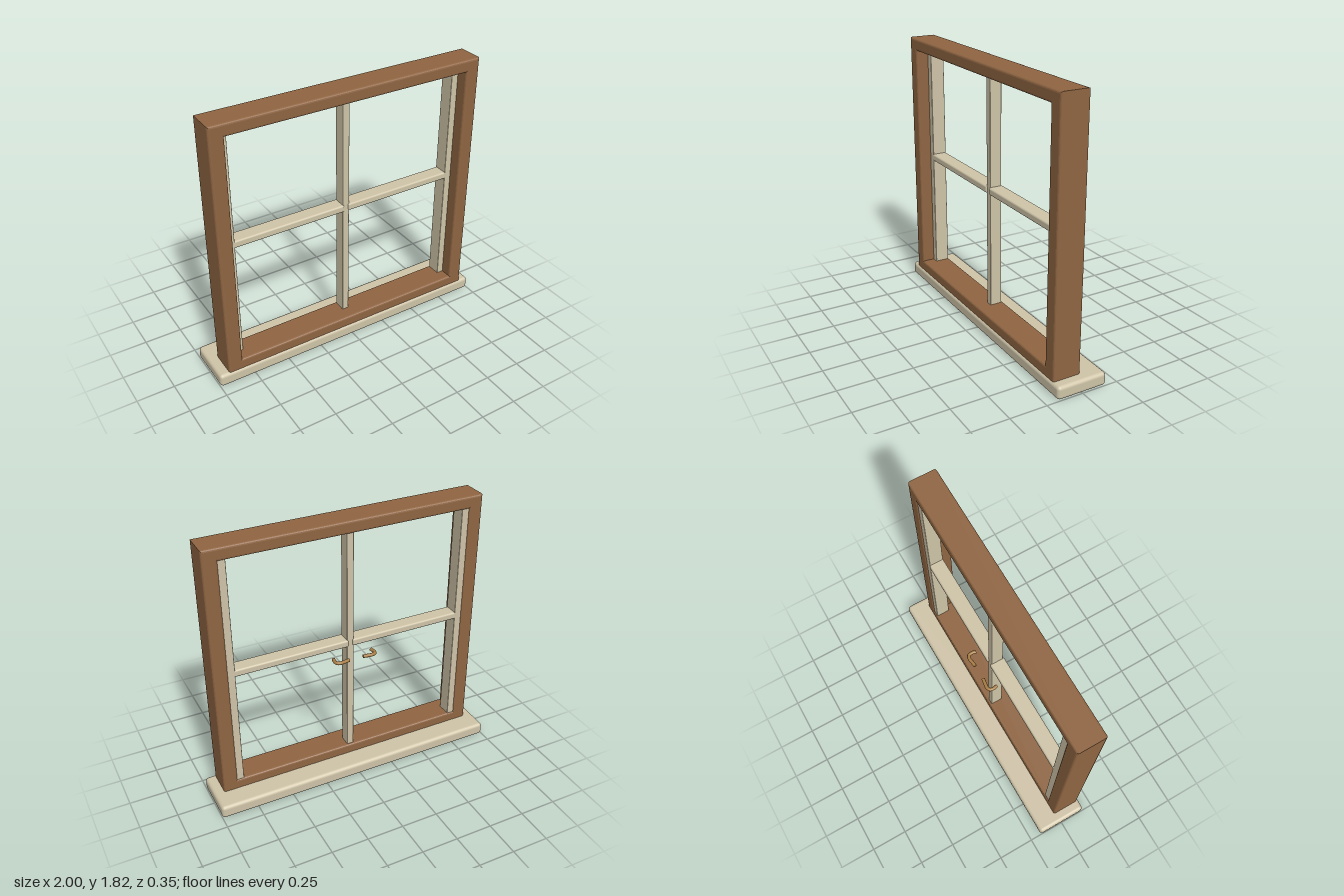
import * as THREE from 'three';
import { RoundedBoxGeometry } from 'three/addons/geometries/RoundedBoxGeometry.js';

const wood = new THREE.MeshStandardMaterial({ color: 0x8f6542 });
const cream = new THREE.MeshStandardMaterial({ color: 0xcfc4a8 });
const brass = new THREE.MeshStandardMaterial({ color: 0xa67c42 });

// Rounded bar given by its lower and upper corners
function bar(name, lo, hi, radius, material) {
  const size = hi.map((v, i) => v - lo[i]);
  const mesh = new THREE.Mesh(new RoundedBoxGeometry(...size, 3, radius), material);
  mesh.position.set(...hi.map((v, i) => (v + lo[i]) / 2));
  mesh.name = name;
  return mesh;
}

function rectangle(PathType, x, y0, y1) {
  return new PathType([[-x, y0], [x, y0], [x, y1], [-x, y1]].map(p => new THREE.Vector2(...p)));
}

// Outer wooden frame: bevelled rectangle with one opening
function buildFrame() {
  const b = 0.014;
  const shape = rectangle(THREE.Shape, 0.932 - b, 0.075 + b, 1.822 - b);
  shape.holes.push(rectangle(THREE.Path, 0.835 + b, 0.155 - b, 1.74 + b));
  const geometry = new THREE.ExtrudeGeometry(shape, {
    depth: 0.19 - 2 * b, bevelEnabled: true, bevelThickness: b, bevelSize: b, bevelSegments: 3,
  });
  geometry.translate(0, 0, -0.027 + b);
  const mesh = new THREE.Mesh(geometry, wood);
  mesh.name = 'outerFrame';
  return mesh;
}

// Bent handle: a short stem that turns inward into a grip
function buildHandle(side) {
  const group = new THREE.Group();
  group.name = side > 0 ? 'leftHandle' : 'rightHandle';
  const points = [[0.136, -0.04], [0.141, -0.07], [0.136, -0.092], [0.115, -0.101], [0.085, -0.098], [0.05, -0.093]]
    .map(([x, z]) => new THREE.Vector3(side * x, 0.9, z));
  const path = new THREE.CatmullRomCurve3(points);
  const radius = 0.0115;
  const grip = new THREE.Mesh(new THREE.TubeGeometry(path, 28, radius, 12), brass);
  grip.name = 'grip';
  group.add(grip);
  for (const t of [0, 1]) {
    const cap = new THREE.Mesh(new THREE.CircleGeometry(radius, 12), brass);
    const outward = path.getTangent(t).multiplyScalar(t ? 1 : -1);
    cap.quaternion.setFromUnitVectors(new THREE.Vector3(0, 0, 1), outward);
    cap.position.copy(path.getPoint(t));
    cap.name = 'gripEnd';
    group.add(cap);
  }
  return group;
}

export function createModel() {
  const model = new THREE.Group();
  model.name = 'window';

  model.add(bar('sill', [-1, 0, -0.173], [1, 0.09, 0.173], 0.024, cream));
  model.add(buildFrame());

  // Central upright
  model.add(bar('centreMullion', [-0.024, 0.15, -0.012], [0.024, 1.745, 0.07], 0.005, cream));

  // Side uprights, cross bars and handles, one set per sash
  for (const side of [1, -1]) {
    const label = side > 0 ? 'left' : 'right';
    const span = (a, b) => (side > 0 ? [a, b] : [-b, -a]);
    const [s0, s1] = span(0.788, 0.84);
    model.add(bar(label + 'Stile', [s0, 0.15, -0.02], [s1, 1.745, 0.078], 0.005, cream));
    const [c0, c1] = span(0.015, 0.8);
    model.add(bar(label + 'CrossBar', [c0, 0.948, -0.022], [c1, 0.997, 0.08], 0.012, cream));
    model.add(buildHandle(side));
  }
  return model;
}
